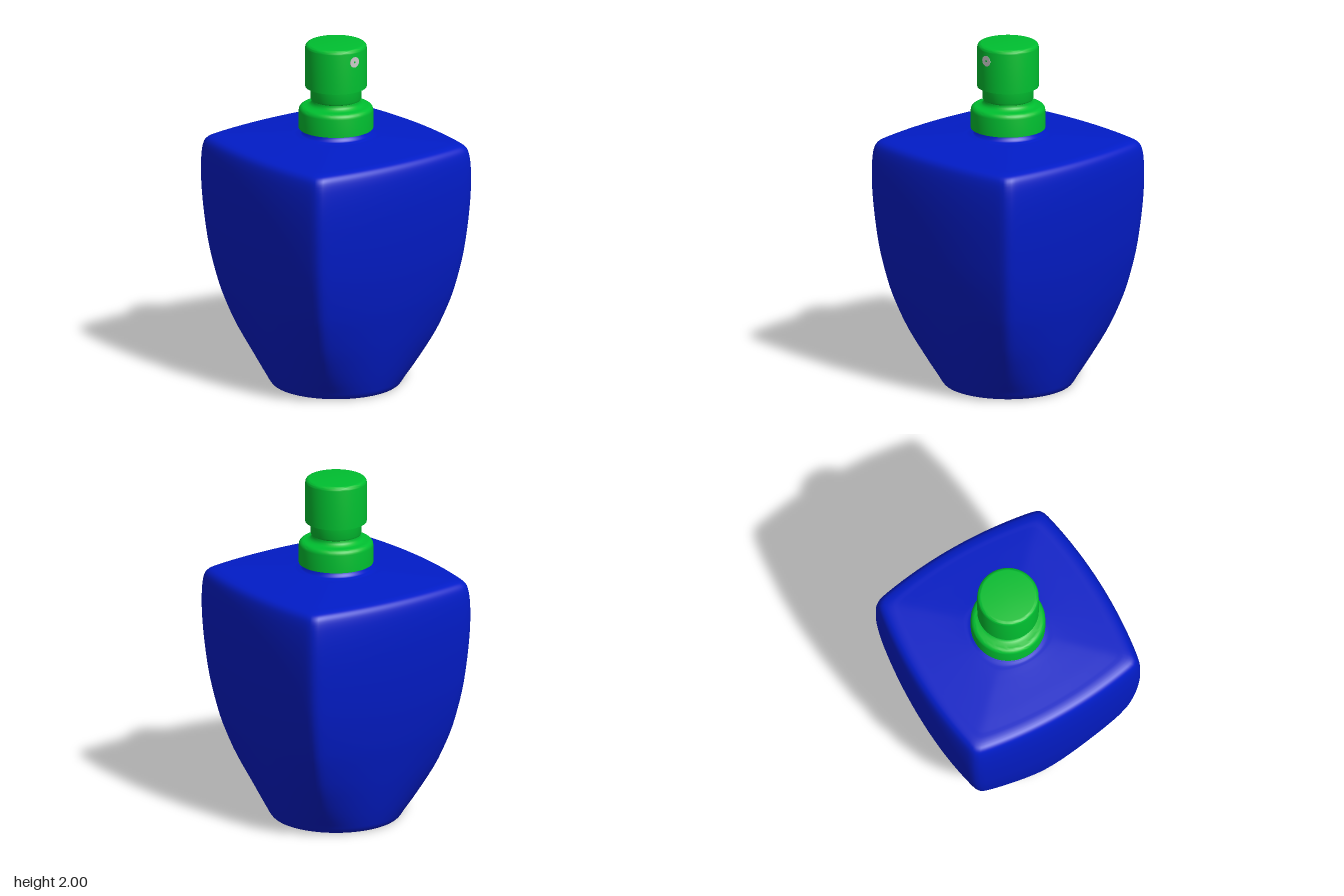
import * as THREE from 'three';
import { toCreasedNormals } from 'three/addons/utils/BufferGeometryUtils.js';

const blue = new THREE.MeshStandardMaterial({ color: 0x021cc8 });
const green = new THREE.MeshStandardMaterial({ color: 0x00bf30 });
const grey = new THREE.MeshStandardMaterial({ color: 0xcccccc });

// Radius of a bulged square of half-width 1 at angle t; q = 1 is a circle, larger q is squarer.
function bulgedSquare(t, q) {
  const side = (a) => -(q - 1) * Math.cos(a) + Math.sqrt(q * q - ((q - 1) * Math.sin(a)) ** 2);
  const blend = (a) => (side(a) ** -40 + side(Math.PI / 2 - a) ** -40) ** (-1 / 40);
  return blend(t % (Math.PI / 2)) / blend(0);
}

// Bottle skin: rings lofted along a curve of (half-width, height, squareness)
function bottleGeometry() {
  const stations = [
    [0, 0, 1], [0.2, 0, 1], [0.342, 0, 1], [0.36, 0.004, 1], [0.376, 0.02, 1.02], [0.394, 0.06, 1.13],
    [0.442, 0.2, 1.75], [0.503, 0.42, 3.2], [0.548, 0.62, 4.1], [0.581, 0.82, 4.4],
    [0.602, 1.02, 4.4], [0.611, 1.18, 4.4], [0.61, 1.3, 4.4], [0.603, 1.37, 4.4],
    [0.593, 1.402, 4.4], [0.577, 1.42, 4.4], [0.552, 1.43, 4.4], [0.5, 1.436, 4.3],
    [0.35, 1.45, 3.2], [0.24, 1.461, 1.6], [0.208, 1.466, 1.1], [0.188, 1.476, 1],
    [0.178, 1.495, 1], [0.177, 1.6, 1],
  ];
  const curve = new THREE.CatmullRomCurve3(stations.map((s) => new THREE.Vector3(...s)));
  const rows = (stations.length - 1) * 4, cols = 192;
  const position = [], index = [];
  for (let i = 0; i <= rows; i++) {
    const p = curve.getPoint(i / rows);
    for (let j = 0; j < cols; j++) {
      const t = (j / cols) * Math.PI * 2;
      const r = Math.max(p.x, 0) * bulgedSquare(t, Math.max(p.z, 1));
      position.push(r * Math.sin(t), Math.max(p.y, 0), r * Math.cos(t));
      if (i === rows) continue;
      const a = i * cols + j, b = i * cols + ((j + 1) % cols);
      if (i > 0) index.push(a, b, b + cols);
      index.push(a, b + cols, a + cols);
    }
  }
  const g = new THREE.BufferGeometry();
  g.setAttribute('position', new THREE.Float32BufferAttribute(position, 3));
  g.setIndex(index);
  g.computeVertexNormals();
  return g;
}

// Turned part with crisp edges where the profile bends sharply
function turned(points, segments = 64) {
  const g = new THREE.LatheGeometry(points.map(([x, y]) => new THREE.Vector2(x, y)), segments);
  return toCreasedNormals(g, 0.6);
}

// Points of a quarter-round outer edge ending on a flat top
function roundedEdge(radius, top, r) {
  return Array.from({ length: 7 }, (_, i) => {
    const a = (i / 6) * Math.PI / 2;
    return [radius - r + r * Math.cos(a), top - r + r * Math.sin(a)];
  });
}

export function createModel() {
  const model = new THREE.Group();
  const add = (name, geometry, material) => {
    const mesh = new THREE.Mesh(geometry, material);
    mesh.name = name;
    model.add(mesh);
    return mesh;
  };

  add('bottle', bottleGeometry(), blue);

  // Hollow collar crimped round the neck
  add('collar', turned([
    [0.185, 1.61], [0.185, 1.502], [0.211, 1.502], ...roundedEdge(0.211, 1.635, 0.03),
    [0.165, 1.636], [0.15, 1.641], [0.14, 1.65], [0.136, 1.662], [0.136, 1.69],
  ]), green);

  // Stem ring between collar and spray head
  add('stem', turned([
    [0.12, 1.666], [0.132, 1.666], [0.14, 1.67], [0.145, 1.68], [0.145, 1.765], [0, 1.765],
  ]), green);

  // Spray head, an open-bottomed cap
  add('sprayHead', turned([
    [0, 1.975], [0.157, 1.975], [0.157, 1.746], [0.174, 1.746], ...roundedEdge(0.174, 2, 0.022), [0, 2],
  ]), green);

  // Nozzle disc with a small spray hole
  const nozzle = add('nozzle', turned([
    [0.031, -0.03], [0.031, 0], [0.006, 0], [0.005, -0.012], [0, -0.012],
  ], 32), grey);
  nozzle.rotation.x = Math.PI / 2;
  nozzle.position.set(0, 1.927, 0.1745);

  return model;
}
